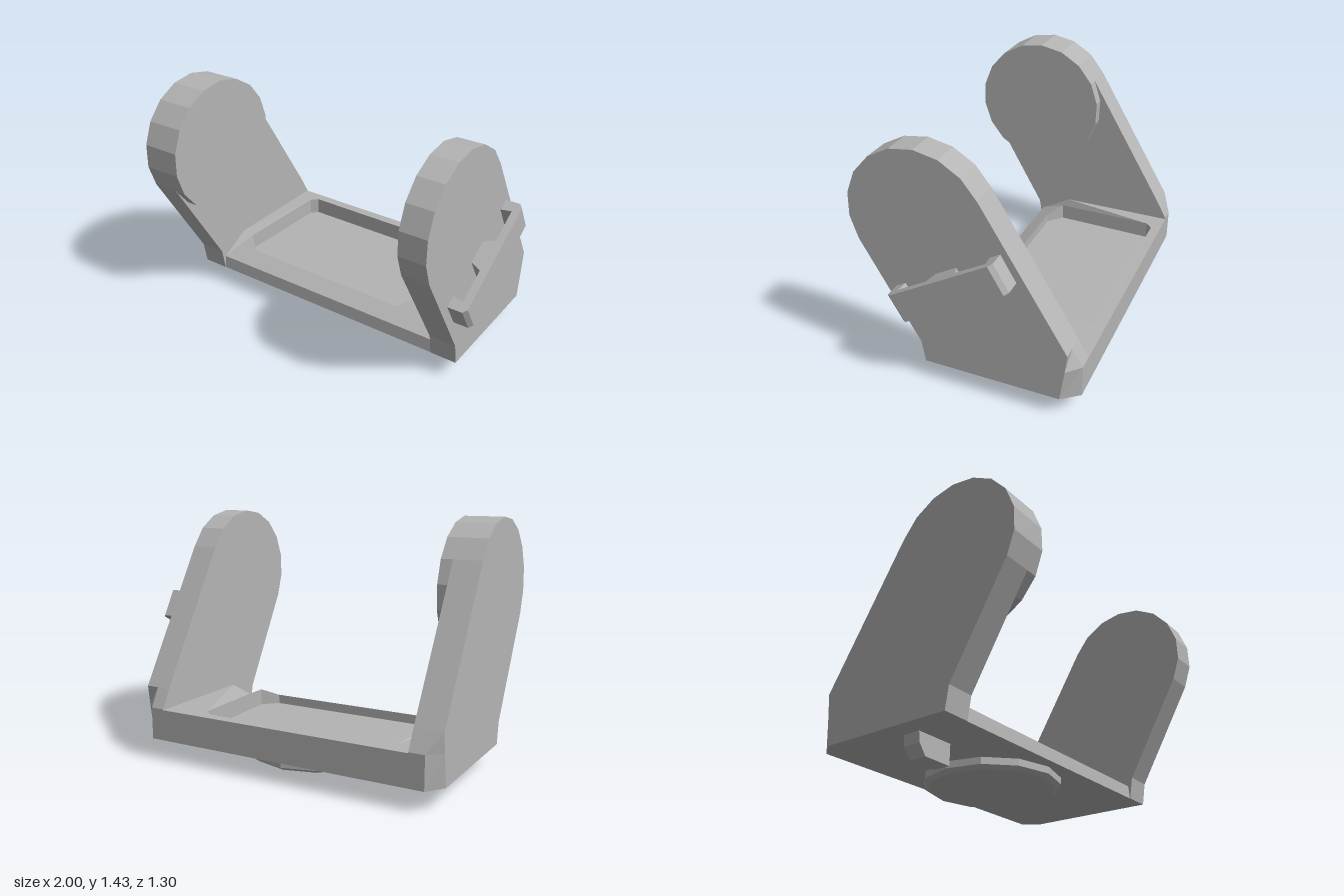
import * as THREE from 'three';

const grey = new THREE.MeshStandardMaterial({ color: 0xb4b4b4 });

const shapeOf = (pts) => new THREE.Shape(pts.map(([a, b]) => new THREE.Vector2(a, b)));

// Extrudes a 2D outline along its own z axis, optionally with one hole
function prism(pts, depth, hole) {
  const shape = shapeOf(pts);
  if (hole) shape.holes.push(shapeOf(hole));
  return new THREE.ExtrudeGeometry(shape, { depth, bevelEnabled: false, steps: 1 });
}

// Slab with a (z, y) outline spanning x0 to x1
function slab(pts, x0, x1, hole) {
  const flip = (list) => list.map(([z, y]) => [-z, y]);
  return prism(flip(pts), x1 - x0, hole && flip(hole)).rotateY(Math.PI / 2).translate(x0, 0, 0);
}

// Moves every vertex by a rule and rebuilds the flat normals
function reshape(geometry, rule) {
  const p = geometry.attributes.position;
  const v = new THREE.Vector3();
  for (let i = 0; i < p.count; i++) {
    rule(v.fromBufferAttribute(p, i));
    p.setXYZ(i, v.x, v.y, v.z);
  }
  geometry.computeVertexNormals();
  return geometry;
}

export function createModel() {
  const model = new THREE.Group();
  model.name = 'yokeBracket';
  const add = (name, geometry, parent = model) => {
    const mesh = new THREE.Mesh(geometry, grey);
    mesh.name = name;
    parent.add(mesh);
    return mesh;
  };

  // Points on the round arm head, in (z, y)
  const headPoint = (degrees) => {
    const a = THREE.MathUtils.degToRad(degrees);
    return [0.25 + 0.404 * Math.cos(a), 1.03 + 0.404 * Math.sin(a)];
  };
  const armOutline = [[0.25, 0.12], [0.27, 0.25]];
  for (let i = 0; i <= 9; i++) armOutline.push(headPoint(-28 + i * 20));
  armOutline.push([-0.59, 0.42], [-0.65, 0.31], [-0.65, 0.12]);

  // Cuts the lower back corner on the outer face of an arm
  const cutCorner = (geometry, outerX) => reshape(geometry, (v) => {
    if (Math.abs(v.x - outerX) < 0.001 && v.z < -0.62) v.z = v.y > 0.2 ? -0.577 : -0.55;
  });

  // Left arm with a shallow faceted recess in its outer face
  const recess = [[0.28, 1.32], [0.09, 1.26], [0, 1.17], [-0.04, 1.0], [0.04, 0.8],
    [0.13, 0.76], [0.37, 0.765], [0.52, 0.98], [0.54, 1.05], [0.46, 1.23]];
  const leftArm = new THREE.Group();
  leftArm.name = 'leftArm';
  model.add(leftArm);
  add('leftArmInner', slab(armOutline, 0.73, 0.815), leftArm);
  const leftOuter = cutCorner(slab(armOutline, 0.815, 0.892, recess), 0.892);
  add('leftArmOuter', leftOuter, leftArm);

  // Right arm with a round boss on its inner face
  const rightArm = new THREE.Group();
  rightArm.name = 'rightArm';
  model.add(rightArm);
  add('rightArmInner', slab(armOutline, -0.925, -0.835), rightArm);
  add('rightArmOuter', cutCorner(slab(armOutline, -1, -0.925), -1), rightArm);
  const bossOutline = Array.from({ length: 18 }, (_, i) => headPoint(-28 + i * 20));
  add('rightArmBoss', slab(bossOutline, -0.835, -0.765), rightArm);

  // Base floor
  add('baseFloor', slab([[0.248, 0.12], [0.24, 0.2], [-0.65, 0.2], [-0.65, 0.12]], -0.835, 0.73));

  // Rim around the tray pocket, sloping down to the front; drawn in (x, -z)
  const rimOutline = [[-0.835, -0.24], [0.73, -0.24], [0.73, -0.05], [0.73, 0.65],
    [-0.835, 0.65], [-0.835, -0.05]];
  const pocket = [[-0.66, -0.14], [0.43, -0.14], [0.515, -0.06], [0.49, 0.54],
    [0.43, 0.585], [-0.69, 0.59], [-0.73, 0.55], [-0.75, -0.06]];
  const rim = prism(rimOutline, 0.105, pocket).rotateX(-Math.PI / 2).translate(0, 0.2, 0);
  add('baseRim', reshape(rim, (v) => {
    if (v.y > 0.25 && v.z > 0.05) v.y = 0.305 - (v.z - 0.05) * 0.55;
  }));

  // Round pad below the base
  const pad = new THREE.CylinderGeometry(0.4, 0.4, 0.04, 12).toNonIndexed();
  pad.computeVertexNormals();
  add('padBody', pad).position.set(-0.06, 0.1, -0.215);
  const padLip = new THREE.CylinderGeometry(0.4, 0.37, 0.02, 12).toNonIndexed();
  padLip.computeVertexNormals();
  add('padLip', padLip).position.set(-0.06, 0.07, -0.215);

  // Small locating peg below the base
  const peg = prism([[-0.65, 0], [-0.65, 0.13], [-0.885, 0.13], [-0.875, 0.06], [-0.83, 0]], 0.105);
  add('peg', peg.translate(0, 0, -0.125));

  // Slanted clip bar standing on three feet on the left arm
  const clip = prism([[-0.36, 0], [-0.29, 0], [-0.3, 0.065], [-0.1, 0.065], [-0.07, 0],
    [0.07, 0], [0.1, 0.065], [0.3, 0.065], [0.29, 0], [0.36, 0], [0.36, 0.09],
    [0.335, 0.11], [-0.335, 0.11], [-0.36, 0.09]], 0.172).translate(0, 0, -0.086);
  const slant = Math.PI / 6;
  const along = new THREE.Vector3(0, Math.sin(slant), -Math.cos(slant));
  const outward = new THREE.Vector3(1, 0, 0);
  const across = new THREE.Vector3().crossVectors(along, outward);
  clip.applyMatrix4(new THREE.Matrix4().makeBasis(along, outward, across).setPosition(0.89, 0.695, 0.045));
  add('clipBar', clip);

  return model;
}
